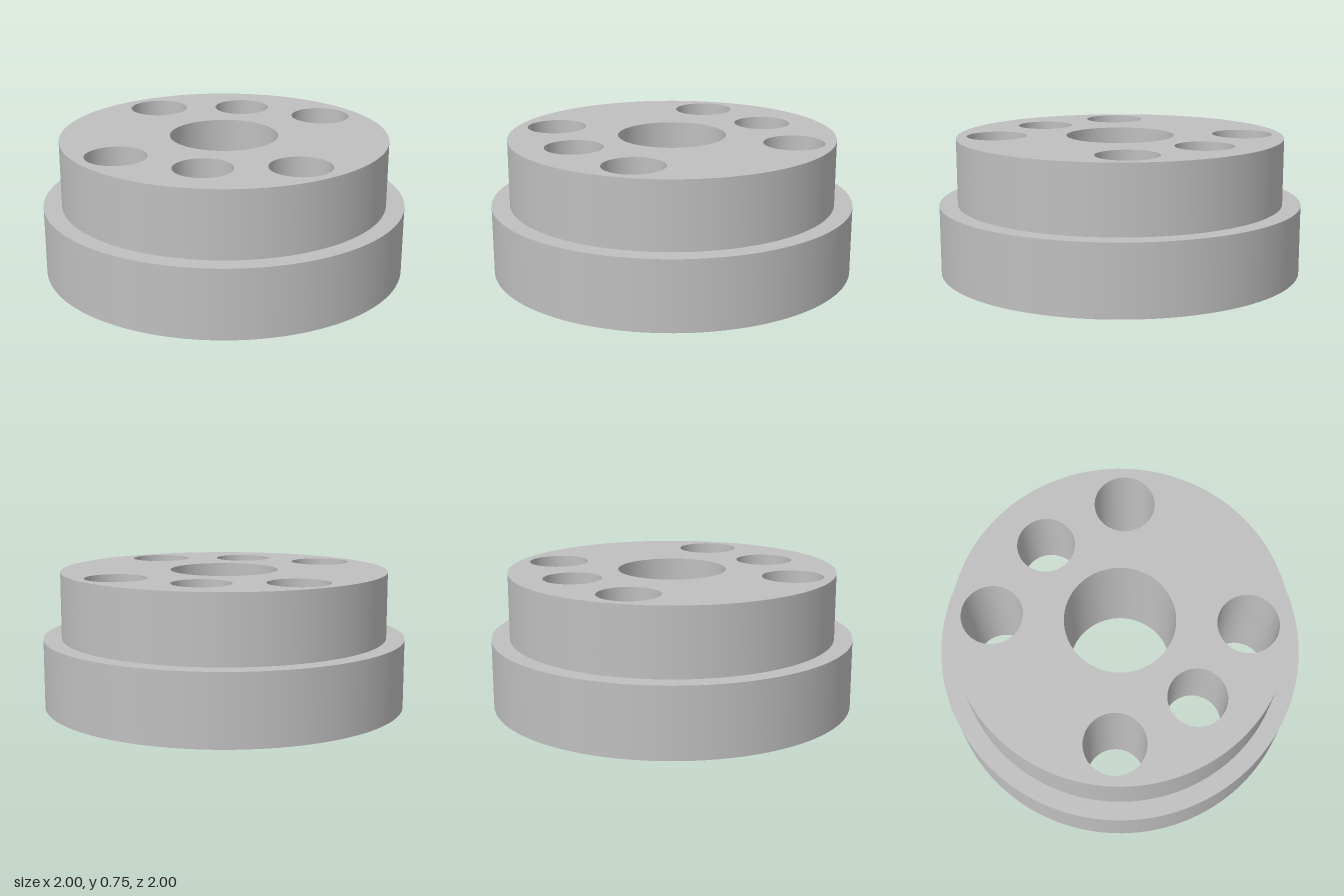
import * as THREE from 'three';

const SEG = 96;
const TOP = 0.745, LEDGE = 0.38, POCKET = 0.275;

export function createModel() {
  const group = new THREE.Group();
  const metal = new THREE.MeshStandardMaterial({ color: 0xbfbfbf });
  metal.name = 'plain grey';

  const add = (name, geometry) => {
    const mesh = new THREE.Mesh(geometry, metal);
    mesh.name = name;
    group.add(mesh);
    return mesh;
  };

  // An outline is { x, z, r, n, turn }: a circle, or a polygon with n sides
  const outline = (x, z, r, n = SEG, turn = 0) => ({ x, z, r, n, turn });
  const points = (o, sign) => Array.from({ length: o.n }, (_, i) => {
    const a = o.turn + (i / o.n) * Math.PI * 2;
    return new THREE.Vector2(o.x + o.r * Math.sin(a), sign * (o.z + o.r * Math.cos(a)));
  });

  // Flat horizontal face with holes, facing up or down
  const face = (name, outer, holes, y, up) => {
    const sign = up ? -1 : 1;
    const shape = new THREE.Shape(points(outer, sign));
    for (const h of holes) shape.holes.push(new THREE.Path(points(h, sign)));
    const g = new THREE.ShapeGeometry(shape);
    g.rotateX(sign * Math.PI / 2);
    add(name, g).position.y = y;
  };

  // Upright wall: from low to high it faces outward, from high to low inward
  const wall = (name, o, yStart, yEnd) => {
    const profile = [new THREE.Vector2(o.r, yStart), new THREE.Vector2(o.r, yEnd)];
    let g = new THREE.LatheGeometry(profile, o.n, o.turn);
    if (o.n < 12) {
      g = g.toNonIndexed();
      g.computeVertexNormals();
    }
    add(name, g).position.set(o.x, 0, o.z);
  };

  const base = outline(0, 0, 1, 128);
  const collar = outline(0, 0, 0.9, 128);
  const centreBore = outline(0, 0, 0.297);
  const largeHoles = [[0.68, 0], [-0.68, 0], [0, 0.68], [0, -0.68]]
    .map(([x, z]) => outline(x, z, 0.165));
  const d = 0.417;
  const nutHole = outline(d, -d, 0.157);
  const boltHole = outline(-d, d, 0.157);
  const nutPocket = outline(d, -d, 0.312, 6, Math.PI / 4);
  const boltPocket = outline(-d, d, 0.271);
  const through = [centreBore, ...largeHoles];

  // Stepped outer body
  wall('baseWall', base, 0, LEDGE);
  face('ledge', base, [collar], LEDGE, true);
  wall('collarWall', collar, LEDGE, TOP);
  face('topFace', collar, [...through, nutHole, boltHole], TOP, true);
  face('bottomFace', base, [...through, nutPocket, boltPocket], 0, false);

  // Straight holes through the full height
  wall('centreBore', centreBore, TOP, 0);
  largeHoles.forEach((h) => wall('largeHole', h, TOP, 0));

  // Small holes that widen into a hexagonal and a round pocket underneath
  for (const [name, hole, pocket] of [['nut', nutHole, nutPocket], ['bolt', boltHole, boltPocket]]) {
    wall(name + 'Hole', hole, TOP, POCKET);
    wall(name + 'PocketWall', pocket, POCKET, 0);
    face(name + 'PocketCeiling', pocket, [hole], POCKET, false);
  }

  return group;
}
